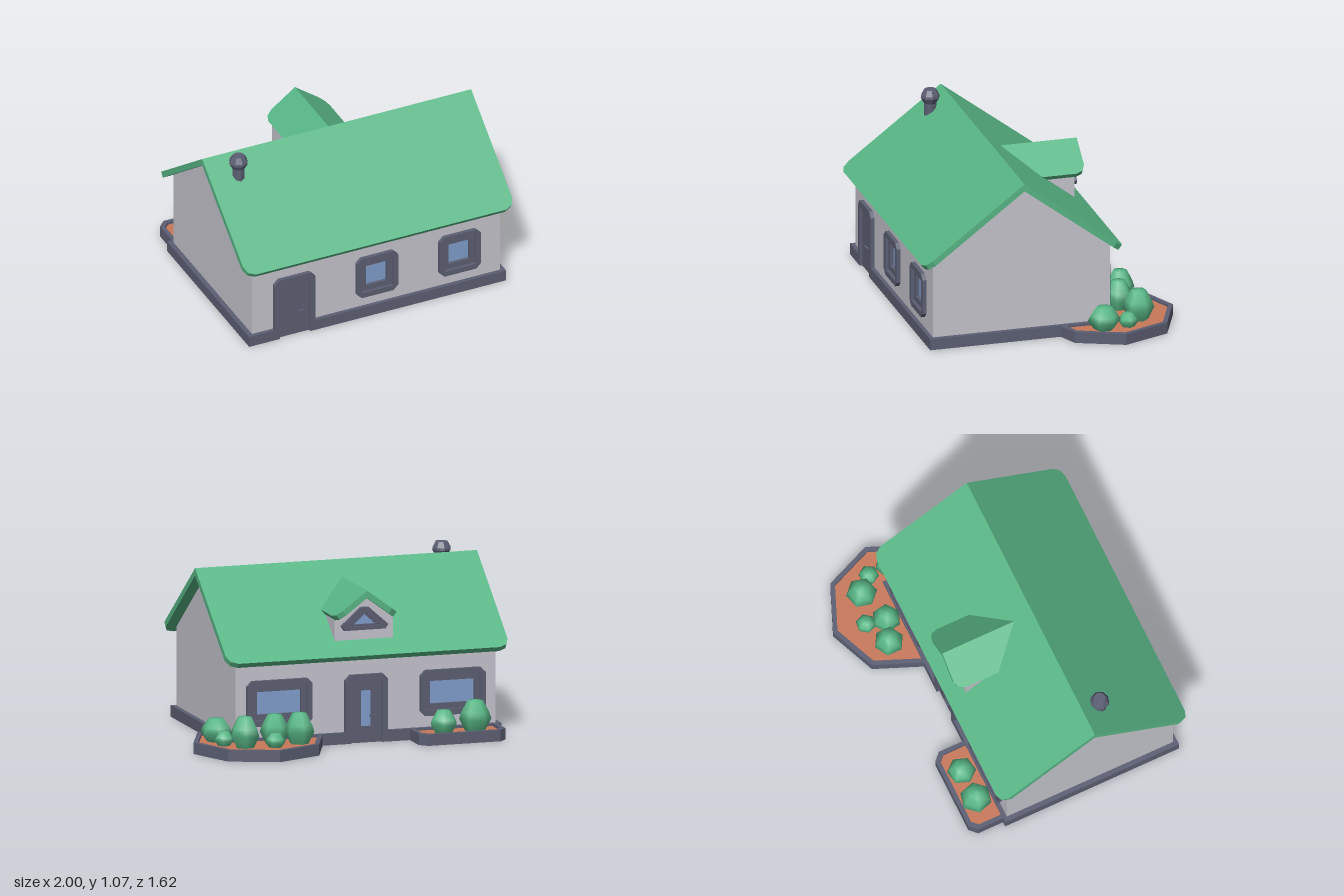
import * as THREE from 'three';

const mat = (name, color) => Object.assign(new THREE.MeshStandardMaterial({ color }), { name });

export function createModel() {
  const green = mat('leafGreen', 0x58b686);
  const wall = mat('plaster', 0xc5c4cd);
  const slate = mat('slate', 0x5c5f73);
  const soil = mat('soil', 0xc87858);
  const glass = mat('glass', 0x809dcb);

  const model = new THREE.Group();
  model.name = 'cottage';
  const house = new THREE.Group();
  house.name = 'house';
  house.position.set(-0.105, 0, 0.18);
  model.add(house);

  const add = (parent, name, geo, material, x = 0, y = 0, z = 0) => {
    const m = new THREE.Mesh(geo, material);
    m.name = name;
    m.position.set(x, y, z);
    parent.add(m);
    return m;
  };
  const group = (parent, name, x = 0, y = 0, z = 0, ry = 0) => {
    const g = new THREE.Group();
    g.name = name;
    g.position.set(x, y, z);
    g.rotation.y = ry;
    parent.add(g);
    return g;
  };
  const v = (pts) => pts.map(([x, y]) => new THREE.Vector2(x, y));
  // Extruded outline with optional holes, front face at z = depth
  const extrude = (pts, depth, holes = []) => {
    const s = new THREE.Shape(v(pts));
    holes.forEach((h) => s.holes.push(new THREE.Path(v(h))));
    return new THREE.ExtrudeGeometry(s, { depth, bevelEnabled: false });
  };
  // The same, lying flat: outline y becomes -z, thickness goes up
  const flat = (pts, h, holes) => extrude(pts, h, holes).rotateX(-Math.PI / 2);
  const rect = (hw, hh, cx = 0, cy = 0, c = 0) => (c
    ? [[-hw + c, -hh], [hw - c, -hh], [hw, -hh + c], [hw, hh - c], [hw - c, hh], [-hw + c, hh], [-hw, hh - c], [-hw, -hh + c]]
    : [[-hw, -hh], [hw, -hh], [hw, hh], [-hw, hh]]).map(([x, y]) => [x + cx, y + cy]);

  // Foundation, notched where the doors stand
  add(house, 'foundation', flat([
    [-0.855, -0.58], [-0.685, -0.58], [-0.685, -0.555], [-0.415, -0.555], [-0.415, -0.58], [0.855, -0.58],
    [0.855, 0.58], [0.135, 0.58], [0.135, 0.555], [-0.135, 0.555], [-0.135, 0.58], [-0.855, 0.58],
  ], 0.07), slate);

  // Stepped window: outer frame, sash and recessed pane
  const WY = 0.28;
  const addWindow = (parent, x, gw) => {
    const g = group(parent, 'window', x, WY, 0);
    add(g, 'windowFrame', extrude(rect(gw + 0.067, 0.14, 0, 0, 0.032), 0.055, [rect(gw + 0.033, 0.105)]), slate, 0, 0, -0.03);
    add(g, 'windowSash', extrude(rect(gw + 0.034, 0.106), 0.035, [rect(gw, 0.07)]), slate, 0, 0, -0.03);
    add(g, 'windowPane', new THREE.BoxGeometry(2 * gw + 0.01, 0.15, 0.008), glass, 0, 0, -0.019);
  };
  // Door: open-bottomed frame, leaf (optionally glazed) and handle
  const addDoor = (parent, x, glazed) => {
    const g = group(parent, 'door', x);
    add(g, 'doorFrame', extrude([
      [-0.135, 0], [-0.1, 0], [-0.1, 0.375], [0.1, 0.375], [0.1, 0],
      [0.135, 0], [0.135, 0.388], [0.103, 0.42], [-0.103, 0.42], [-0.135, 0.388],
    ], 0.03), slate, 0, 0, -0.005);
    const pane = rect(0.03, 0.11, 0, 0.21);
    add(g, 'doorLeaf', extrude(rect(0.1, 0.1875, 0, 0.1875), 0.011, glazed ? [pane] : []), slate, 0, 0, -0.003);
    if (glazed) add(g, 'doorPane', extrude(pane, 0.005), glass, 0, 0, -0.002);
    add(g, 'handlePlate', new THREE.BoxGeometry(0.016, 0.05, 0.008), slate, 0.058, 0.165, 0.011);
    add(g, 'handleStem', new THREE.BoxGeometry(0.01, 0.012, 0.02), slate, 0.058, 0.168, 0.018);
    add(g, 'handleLever', new THREE.BoxGeometry(0.045, 0.012, 0.01), slate, 0.04, 0.168, 0.028);
  };

  // Long walls with their openings
  const longWall = (name, ry, windows, gw, doorX, glazed) => {
    const g = group(house, name, 0, 0, 0, ry);
    const side = group(g, name + 'Face', 0, 0, 0.555);
    const holes = windows.map((x) => rect(gw + 0.034, 0.106, x, WY));
    add(side, 'wall', extrude(rect(0.825, 0.26, 0, 0.295), 0.03, holes), wall, 0, 0, -0.03);
    windows.forEach((x) => addWindow(side, x, gw));
    addDoor(side, doorX, glazed);
  };
  longWall('frontWall', 0, [0, 0.55], 0.07, -0.55, false);
  longWall('backWall', Math.PI, [-0.55, 0.55], 0.14, 0, true);

  // Gable walls
  const gable = [[-0.555, 0.035], [0.555, 0.035], [0.555, 0.557], [0, 0.975], [-0.555, 0.557]];
  for (const s of [-1, 1]) {
    add(group(house, 'gable', s * 0.795, 0, 0, s * Math.PI / 2), 'gableWall', extrude(gable, 0.03), wall);
  }

  // A pair of roof slabs meeting at a ridge along local x, eave corners rounded
  const addRoof = (parent, name, half, run, rise, c) => {
    const L = Math.hypot(run, rise), t = 0.036;
    const tilt = Math.atan2(rise, run) - Math.PI / 2;
    const geo = extrude([
      [-half, 0], [-half, -L + c], [-half + 0.3 * c, -L + 0.3 * c], [-half + c, -L],
      [half - c, -L], [half - 0.3 * c, -L + 0.3 * c], [half, -L + c], [half, 0],
    ], t).translate(0, 0, -t).rotateX(tilt);
    for (const ry of [0, Math.PI]) add(parent, name, geo, green).rotation.y = ry;
  };
  addRoof(group(house, 'roof', 0, 1.02), 'roofSlope', 0.895, 0.63, 0.475, 0.065);

  // Dormer on the back slope
  addRoof(group(house, 'dormerRoof', 0, 0.935, -0.3525, Math.PI / 2), 'dormerSlope', 0.2375, 0.205, 0.1525, 0.06);
  const dormer = group(house, 'dormer', 0, 0, -0.523, Math.PI);
  add(dormer, 'dormerWall', extrude(
    [[-0.185, 0.6], [0.185, 0.6], [0.185, 0.755], [0, 0.89], [-0.185, 0.755]], 0.4), wall, 0, 0, -0.4);
  const tri = (w, y0, y1) => [[-w, y0], [w, y0], [0, y1]];
  add(dormer, 'dormerWindowFrame', extrude(
    [[-0.13, 0.688], [0.13, 0.688], [0.148, 0.715], [0.025, 0.825], [-0.025, 0.825], [-0.148, 0.715]],
    0.03, [tri(0.1, 0.708, 0.798)]), slate, 0, 0, -0.003);
  add(dormer, 'dormerWindowSash', extrude(tri(0.101, 0.707, 0.799), 0.012, [tri(0.068, 0.721, 0.782)]), slate);
  add(dormer, 'dormerWindowPane', extrude(tri(0.07, 0.72, 0.784), 0.005), glass);

  // Octagonal chimney with a flared cap
  const flue = new THREE.LatheGeometry(v([[0.039, 0.86], [0.039, 0.98], [0.059, 1.015], [0.057, 1.03], [0.037, 1.065], [0, 1.065]]), 8)
    .toNonIndexed();
  flue.computeVertexNormals();
  add(house, 'chimney', flue, slate, -0.71, 0, 0.12);

  // Planters: rim, floor and soil
  const addPlanter = (name, outer, inner, x, z) => {
    const g = group(house, name, x, 0, z);
    add(g, 'planterRim', flat(outer, 0.07, [inner]), slate);
    add(g, 'planterFloor', flat(inner, 0.045), slate);
    add(g, 'planterSoil', flat(inner, 0.009), soil, 0, 0.045, 0);
  };
  const octagon = (r) => Array.from({ length: 8 }, (_, i) => [r * Math.cos(i * Math.PI / 4), r * Math.sin(i * Math.PI / 4)]);
  addPlanter('cornerPlanter', octagon(0.41), octagon(0.38), 0.69, -0.58);
  addPlanter('backPlanter', rect(0.275, 0.14, 0, 0, 0.045), rect(0.248, 0.113, 0, 0, 0.035), -0.55, -0.65);

  // Bushes: x, z, radius, top height
  const bushes = [
    [0.475, -0.72, 0.092, 0.245], [0.65, -0.79, 0.062, 0.14], [0.825, -0.735, 0.095, 0.245],
    [0.615, -0.67, 0.09, 0.235], [0.925, -0.64, 0.062, 0.14], [0.925, -0.49, 0.1, 0.195],
    [-0.655, -0.68, 0.098, 0.245], [-0.455, -0.68, 0.088, 0.195],
  ];
  bushes.forEach(([x, z, r, top], i) => {
    const b = 0.05, h = top - b;
    const geo = new THREE.LatheGeometry(v([
      [0.6 * r, b], [r, b + 0.4 * h], [0.85 * r, b + 0.62 * h], [0.48 * r, b + 0.97 * h], [0, top],
    ]), 6);
    add(house, 'bush', geo, green, x, 0, z).rotation.y = i * 0.4;
  });

  return model;
}
